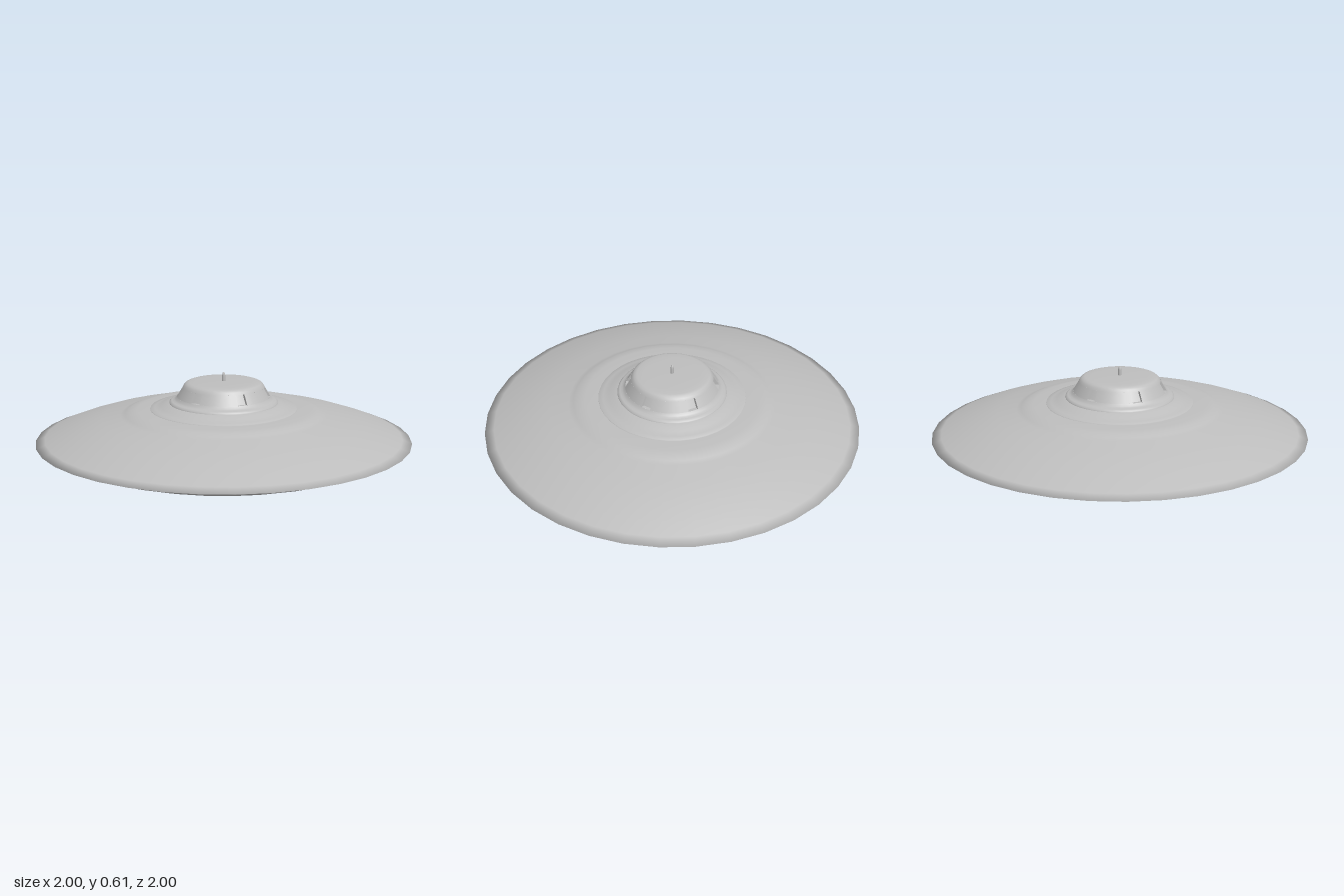
import * as THREE from 'three';

const SEGMENTS = 36;

export function createModel() {
  const model = new THREE.Group();
  model.name = 'flyingSaucer';
  const metal = new THREE.MeshStandardMaterial({ color: 0xbdbdbd });
  metal.name = 'grey metal';
  metal.side = THREE.DoubleSide;

  const add = (name, geometry, parent = model) => {
    const mesh = new THREE.Mesh(geometry, metal);
    mesh.name = name;
    parent.add(mesh);
    return mesh;
  };
  // Profiles run from bottom to top as [radius, height]
  const lathe = (points, segments = SEGMENTS, start = 0, length = Math.PI * 2) =>
    new THREE.LatheGeometry(points.map(([r, y]) => new THREE.Vector2(r, y)), segments, start, length);

  // Lens-shaped hull, smooth over the rim, with a soft step on each side
  add('hull', lathe([
    [0.38, 0.075], [0.46, 0.077], [0.49, 0.083], [0.515, 0.1], [0.545, 0.108],
    [0.65, 0.133], [0.76, 0.163], [0.87, 0.2], [0.95, 0.23], [1, 0.247],
    [0.95, 0.267], [0.87, 0.298], [0.76, 0.335], [0.65, 0.364], [0.55, 0.384],
    [0.525, 0.392], [0.5, 0.404], [0.46, 0.41], [0.39, 0.413],
  ]));

  // Stepped rings below the dome
  add('upperCollar', lathe([
    [0.392, 0.408], [0.39, 0.417], [0.365, 0.421], [0.335, 0.43], [0.31, 0.442], [0.285, 0.447],
  ]));
  add('domeBrim', lathe([[0.29, 0.444], [0.288, 0.452], [0.278, 0.459], [0.262, 0.462]]));

  // Dome: lower skirt, window band and rounded cap
  const low = [0.247, 0.479], high = [0.217, 0.53];
  const dome = new THREE.Group();
  dome.name = 'dome';
  model.add(dome);
  add('domeSkirt', lathe([[0.274, 0.459], [0.264, 0.463], [0.255, 0.468], low]), dome);
  add('domeCap', lathe([
    high, [0.21, 0.542], [0.2, 0.551], [0.185, 0.556], [0.15, 0.558], [0.08, 0.56], [0, 0.561],
  ]), dome);

  // Six sunken windows, with solid wall between them
  const windows = 6, spacing = Math.PI * 2 / windows, half = 0.108, depth = 0.018;
  const lowIn = [low[0] - depth, low[1]], highIn = [high[0] - depth, high[1]];
  for (let i = 0; i < windows; i++) {
    const angle = i * spacing;
    add('domeWall', lathe([low, high], 5, angle + half, spacing - 2 * half), dome);
    add('windowPane', lathe([lowIn, highIn], 1, angle - half, 2 * half), dome);
    add('windowSill', lathe([low, lowIn], 1, angle - half, 2 * half), dome);
    add('windowHead', lathe([highIn, high], 1, angle - half, 2 * half), dome);
    for (const side of [-1, 1]) {
      const jamb = new THREE.Shape([low, high, highIn, lowIn].map(([r, y]) => new THREE.Vector2(r, y)));
      add('windowJamb', new THREE.ShapeGeometry(jamb), dome).rotation.y = angle + side * half - Math.PI / 2;
    }
  }

  // Small antenna with a pointed tip
  add('antenna', lathe([
    [0.009, 0.555], [0.009, 0.59], [0.007, 0.602], [0.003, 0.608], [0, 0.609],
  ], 10));

  // Lower ring and its circle of rivets
  add('lowerRing', lathe([
    [0.19, 0.038], [0.27, 0.036], [0.33, 0.037], [0.365, 0.043],
    [0.385, 0.055], [0.397, 0.068], [0.405, 0.08],
  ]));
  const rivet = new THREE.SphereGeometry(0.005, 6, 4);
  const rivets = 48;
  for (let i = 0; i < rivets; i++) {
    const a = i * Math.PI * 2 / rivets;
    add('rivet', rivet).position.set(0.31 * Math.sin(a), 0.036, 0.31 * Math.cos(a));
  }

  // Bottom hub with a shallow sunken plate
  add('bottomHub', lathe([
    [0.142, 0.003], [0.155, 0], [0.175, 0.002], [0.193, 0.01], [0.205, 0.023], [0.212, 0.04],
  ]));
  add('hubLip', lathe([[0.14, 0.012], [0.142, 0.003]]));
  add('bottomPlate', lathe([[0, 0.01], [0.08, 0.01], [0.14, 0.012]]));

  return model;
}
